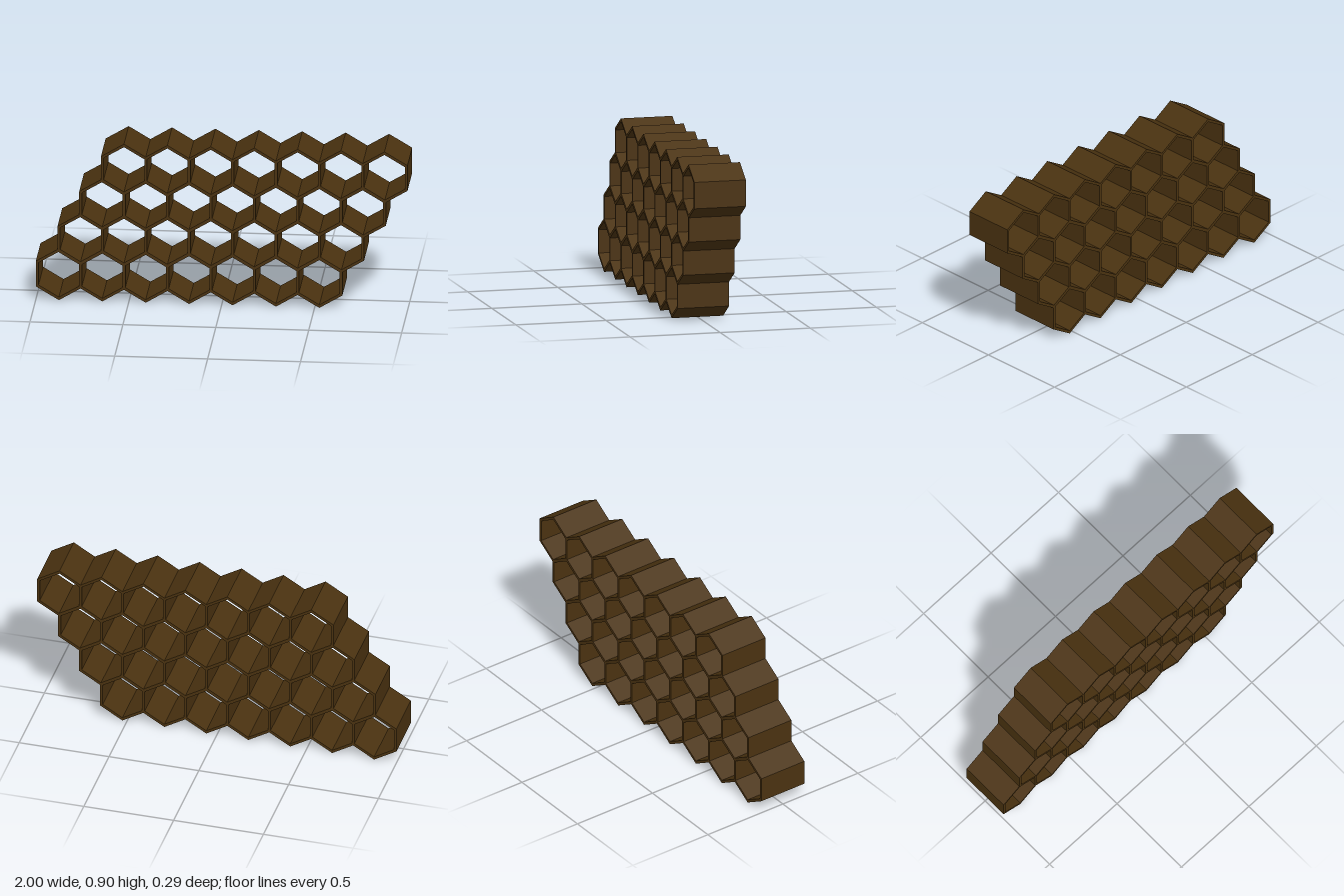
import * as THREE from 'three';

const COLS = 7, ROWS = 4;
const PITCH = 0.2336, ROW_STEP = 0.2023, DEPTH = 0.286;

// Pointy-top hexagon: half width, height of the side corners, height of the tips
function hexPoints(halfWidth, corner, tip) {
  return [
    [0, tip], [-halfWidth, corner], [-halfWidth, -corner],
    [0, -tip], [halfWidth, -corner], [halfWidth, corner],
  ].map(([x, y]) => new THREE.Vector2(x, y));
}

export function createModel() {
  const group = new THREE.Group();
  group.name = 'honeycomb';
  const material = new THREE.MeshStandardMaterial({ color: 0x4a3210 });

  // One open hexagonal tube, shared by every cell
  const outline = new THREE.Shape(hexPoints(0.124, 0.072, 0.1465));
  outline.holes.push(new THREE.Path(hexPoints(0.1095, 0.0635, 0.129)));
  const tube = new THREE.ExtrudeGeometry(outline, { depth: DEPTH, bevelEnabled: false });
  tube.translate(0, 0, -DEPTH / 2);

  // Rows step half a cell to the side; neighbours share their walls
  for (let row = 0; row < ROWS; row++) {
    const rowGroup = new THREE.Group();
    rowGroup.name = `cellRow${row + 1}`;
    rowGroup.position.set((row - (ROWS - 1) / 2) * PITCH / 2, 0.1465 + row * ROW_STEP, 0);
    for (let col = 0; col < COLS; col++) {
      const cell = new THREE.Mesh(tube, material);
      cell.name = `cell${col + 1}`;
      cell.position.x = (col - (COLS - 1) / 2) * PITCH;
      rowGroup.add(cell);
    }
    group.add(rowGroup);
  }
  return group;
}
